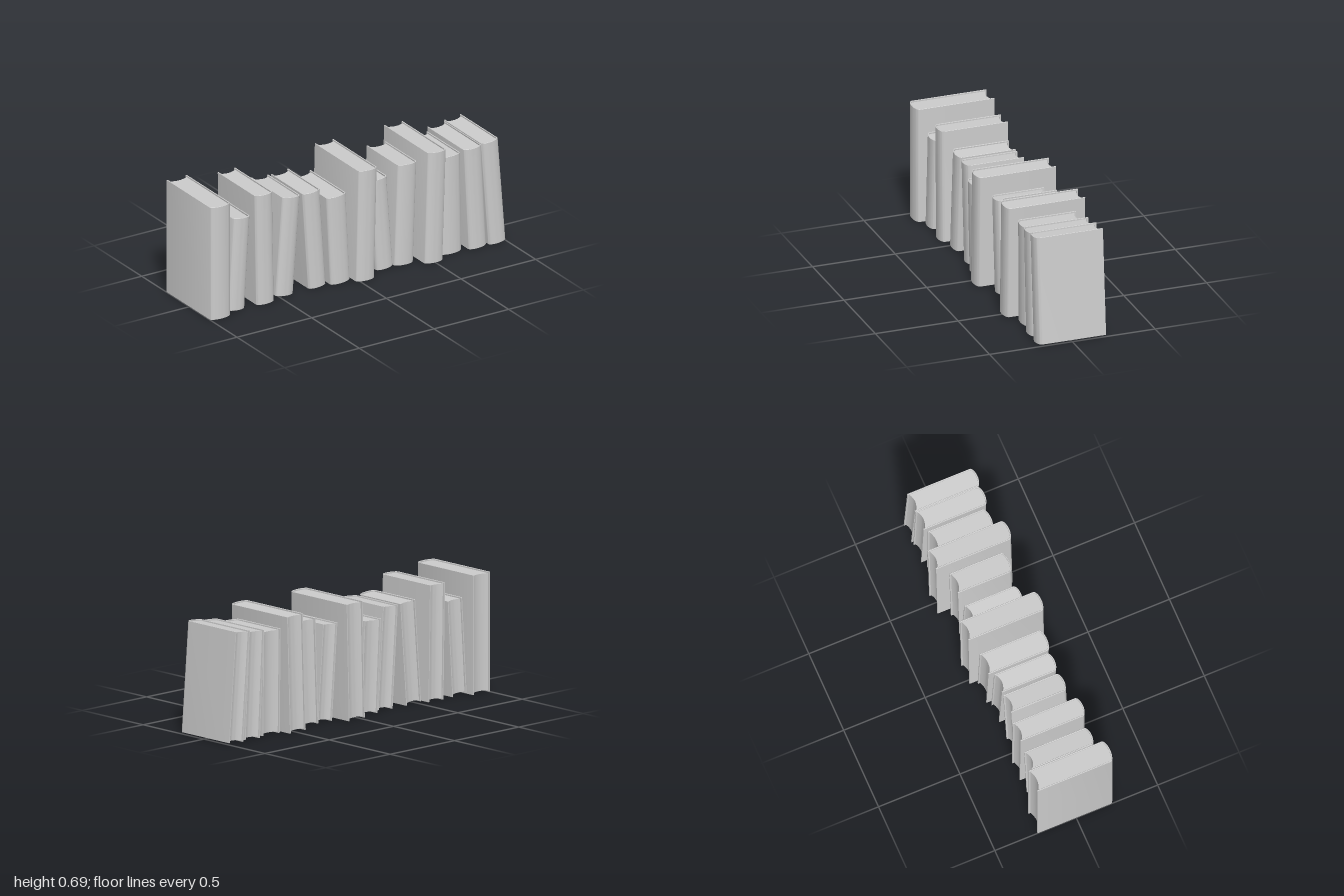
import * as THREE from 'three';
import { toCreasedNormals } from 'three/addons/utils/BufferGeometryUtils.js';

const material = new THREE.MeshStandardMaterial({ color: 0xcccccc });

// Each book: bottom centre x, width, height, depth, lean towards +x (radians)
const BOOKS = [
  [-0.933, 0.134, 0.695, 0.475, 0],
  [-0.800, 0.112, 0.563, 0.392, 0.063],
  [-0.610, 0.117, 0.678, 0.408, -0.017],
  [-0.464, 0.116, 0.600, 0.350, 0.077],
  [-0.244, 0.115, 0.598, 0.348, -0.068],
  [-0.102, 0.129, 0.543, 0.387, -0.050],
  [0.037, 0.125, 0.680, 0.475, 0.025],
  [0.214, 0.112, 0.565, 0.325, -0.074],
  [0.337, 0.128, 0.617, 0.342, 0.038],
  [0.495, 0.123, 0.680, 0.475, 0.033],
  [0.650, 0.135, 0.604, 0.362, -0.013],
  [0.813, 0.118, 0.625, 0.400, -0.053],
  [0.943, 0.113, 0.640, 0.408, -0.080],
];

const COVER = 0.007; // board thickness
const LIP = 0.009; // how far the boards overhang the pages
const BULGE = 0.026; // roundness of the spine

// Half ellipse across the spine, from x = -a to x = a
function spineArc(a, z, b, steps = 20) {
  return Array.from({ length: steps + 1 }, (_, i) => {
    const t = Math.PI * (1 - i / steps);
    return new THREE.Vector2(a * Math.cos(t), -(z + b * Math.sin(t)));
  });
}

// Stands a plan outline (shape y = -z) up from y0 to y1
function standUp(points, y0, y1, bevel = 0) {
  const geometry = new THREE.ExtrudeGeometry(new THREE.Shape(points), {
    depth: y1 - y0 - 2 * bevel,
    bevelEnabled: bevel > 0,
    bevelSize: bevel,
    bevelOffset: -bevel,
    bevelThickness: bevel,
    bevelSegments: 1,
  });
  geometry.rotateX(-Math.PI / 2).translate(0, y0 + bevel, 0);
  return toCreasedNormals(geometry, 0.6);
}

function makeBook([x, w, h, d, lean], index) {
  const book = new THREE.Group();
  book.name = `book${index + 1}`;
  const a = w / 2, back = -d / 2, shoulder = d / 2 - BULGE;
  const inner = a - COVER;

  // U-shaped cover: two boards joined by a rounded spine
  const coverOutline = [
    new THREE.Vector2(-a, -back),
    ...spineArc(a, shoulder, BULGE),
    new THREE.Vector2(a, -back),
    new THREE.Vector2(inner, -back),
    ...spineArc(inner, shoulder, BULGE - COVER).reverse(),
    new THREE.Vector2(-inner, -back),
  ];
  const cover = new THREE.Mesh(standUp(coverOutline, 0, h, 0.0015), material);
  cover.name = 'cover';

  // Page block: rounded towards the spine, hollowed at the fore edge
  const p = inner + 0.001;
  const foreEdge = Array.from({ length: 13 }, (_, i) => {
    const u = 1 - i / 6;
    return new THREE.Vector2(p * u, -(back + LIP + 0.016 * (1 - u * u)));
  });
  const pageOutline = [...spineArc(p, shoulder, BULGE - COVER + 0.001), ...foreEdge];
  const pages = new THREE.Mesh(standUp(pageOutline, LIP, h - LIP), material);
  pages.name = 'pages';

  // Lean the book so that its lower corner rests on the shelf
  book.add(cover, pages);
  book.position.set(x, a * Math.abs(Math.sin(lean)), 0);
  book.rotation.z = -lean;
  return book;
}

export function createModel() {
  const group = new THREE.Group();
  group.name = 'bookRow';
  BOOKS.forEach((spec, i) => group.add(makeBook(spec, i)));
  return group;
}
